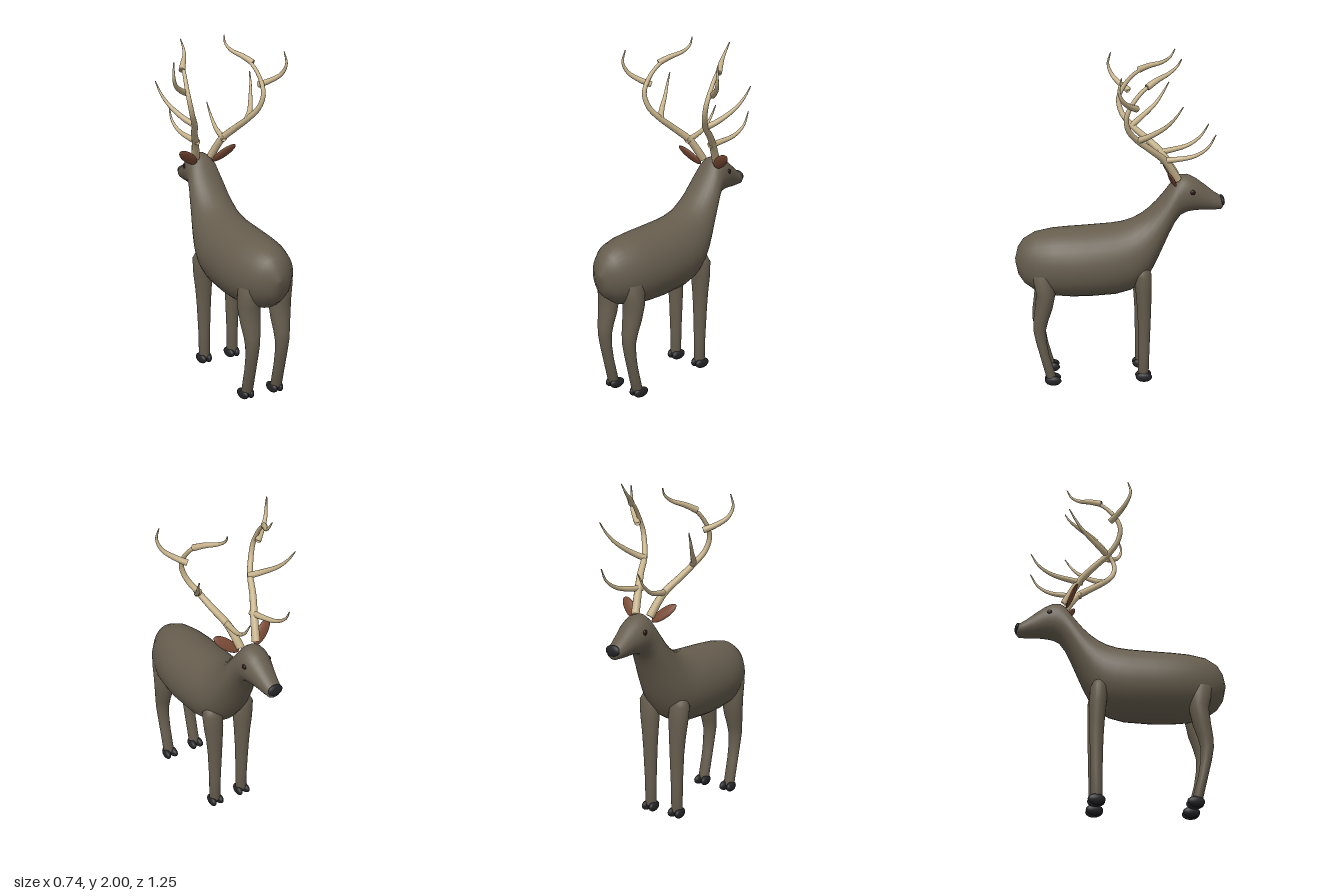
import * as THREE from 'three';

const mat = (name, color, extra = {}) => {
  const m = new THREE.MeshStandardMaterial({ color, ...extra });
  m.name = name;
  return m;
};

// Skin over elliptical rings: [topZ, topY, bottomZ, bottomY, halfWidth, centreX]
function loft(rings, segs = 32) {
  const pos = [], idx = [], n = rings.length;
  for (const [tz, ty, bz, by, w, cx = 0] of rings) {
    for (let j = 0; j < segs; j++) {
      const a = (j / segs) * Math.PI * 2, c = Math.cos(a) / 2;
      pos.push(cx + w * Math.sin(a), (ty + by) / 2 + (ty - by) * c, (tz + bz) / 2 + (tz - bz) * c);
    }
  }
  for (let i = 0; i < n - 1; i++) {
    for (let j = 0; j < segs; j++) {
      const k = (j + 1) % segs;
      const a = i * segs + j, b = i * segs + k, c = a + segs, d = b + segs;
      idx.push(a, b, c, b, d, c);
    }
  }
  // end caps
  for (const [r, flip] of [[0, true], [n - 1, false]]) {
    const [tz, ty, bz, by, , cx = 0] = rings[r];
    const centre = pos.length / 3;
    pos.push(cx, (ty + by) / 2, (tz + bz) / 2);
    for (let j = 0; j < segs; j++) {
      const a = r * segs + j, b = r * segs + (j + 1) % segs;
      flip ? idx.push(centre, b, a) : idx.push(centre, a, b);
    }
  }
  const g = new THREE.BufferGeometry();
  g.setAttribute('position', new THREE.Float32BufferAttribute(pos, 3));
  g.setIndex(idx);
  g.computeVertexNormals();
  return g;
}

// Curved horn tapering from r0 to r1 with a flat base
function horn(points, s, r0, r1, power = 1) {
  const curve = new THREE.CatmullRomCurve3(points.map(([x, y, z]) => new THREE.Vector3(x * s, y, z)));
  const n = 28, radial = 12;
  const g = new THREE.TubeGeometry(curve, n, 1, radial);
  const p = g.attributes.position, v = new THREE.Vector3();
  for (let i = 0; i <= n; i++) {
    const c = curve.getPointAt(Math.max(i, 1) / n);
    const r = i === 0 ? 0 : r0 + (r1 - r0) * Math.pow(i / n, power);
    const base = curve.getPointAt(i / n);
    for (let j = 0; j <= radial; j++) {
      const k = i * (radial + 1) + j;
      v.fromBufferAttribute(p, k).sub(base).multiplyScalar(r).add(c);
      p.setXYZ(k, v.x, v.y, v.z);
    }
  }
  return g;
}

export function createModel() {
  const hide = mat('hide', 0x665d4e);
  const antlerMat = mat('antler', 0xc8b48c);
  const earMat = mat('ear brown', 0x7a4a35);
  const black = mat('hoof black', 0x232326);
  const eyeMat = mat('eye', 0x2a1512);

  const model = new THREE.Group();
  model.name = 'deer';
  const add = (name, geo, material, parent = model) => {
    const m = new THREE.Mesh(geo, material);
    m.name = name;
    parent.add(m);
    return m;
  };
  const ball = (name, material, c, r, parent) => {
    const m = add(name, new THREE.SphereGeometry(1, 24, 16), material, parent);
    m.position.set(...c);
    m.scale.set(...r);
    return m;
  };

  // body, neck and head as one skin from rump to muzzle
  add('body', loft([
    [.622, .79, .622, .77, .01], [.605, .86, .605, .69, .055], [.57, .91, .57, .635, .105],
    [.5, .948, .5, .585, .157], [.4, .966, .4, .557, .188], [.3, .972, .3, .548, .201],
    [.2, .976, .2, .545, .205], [.05, .985, .03, .553, .2], [-.02, .995, -.06, .575, .19],
    [-.08, 1.015, -.13, .615, .175], [-.13, 1.042, -.18, .68, .16], [-.175, 1.076, -.22, .76, .146],
    [-.22, 1.12, -.255, .84, .132], [-.26, 1.168, -.29, .92, .121], [-.295, 1.215, -.325, .99, .109],
    [-.325, 1.257, -.36, 1.036, .1], [-.355, 1.28, -.4, 1.054, .095], [-.40, 1.28, -.44, 1.06, .09],
    [-.45, 1.255, -.475, 1.062, .08], [-.5, 1.217, -.515, 1.06, .067], [-.56, 1.168, -.56, 1.06, .056],
    [-.60, 1.142, -.60, 1.062, .047], [-.613, 1.125, -.613, 1.075, .03],
  ]), hide);

  const nose = ball('nose', black, [0, 1.115, -.607], [.047, .033, .017]);
  nose.rotation.x = .15;

  // legs: [y, frontZ, backZ, halfWidth, centreX]
  const legs = {
    frontLeg: [[.755, -.125, -.11, .01, .11], [.74, -.16, -.085, .042, .11], [.7, -.18, -.075, .065, .108],
      [.6, -.182, -.085, .062, .104], [.5, -.18, -.094, .052, .1], [.4, -.178, -.1, .045, .098],
      [.2, -.172, -.104, .036, .097], [.04, -.168, -.104, .035, .097]],
    hindLeg: [[.76, .42, .46, .02, .105], [.72, .385, .53, .065, .103], [.6, .39, .505, .07, .1],
      [.5, .41, .515, .06, .098], [.42, .437, .526, .049, .097], [.36, .452, .527, .043, .097],
      [.28, .448, .512, .038, .097], [.2, .435, .492, .036, .097], [.04, .393, .453, .035, .097]],
  };

  // antler paths for the left side: [points, base radius, tip radius, taper power]
  const antler = {
    beam: [[[.045, 1.24, -.35], [.09, 1.39, -.255], [.135, 1.465, -.175], [.175, 1.54, -.085], [.215, 1.61, -.03],
      [.238, 1.69, -.015], [.24, 1.76, -.045], [.228, 1.83, -.1], [.213, 1.872, -.155]], .025, .01, 1],
    browTine: [[[.085, 1.392, -.215], [.1, 1.4, -.3], [.122, 1.425, -.42], [.132, 1.475, -.495], [.128, 1.55, -.542]], .019, .003, 1.3],
    middleTine: [[[.16, 1.532, -.075], [.215, 1.57, -.14], [.27, 1.64, -.235], [.297, 1.7, -.285], [.312, 1.765, -.325]], .019, .003, 1.3],
    rearTine: [[[.225, 1.735, -.08], [.285, 1.765, -.03], [.34, 1.81, .015], [.36, 1.87, .037], [.352, 1.942, .022]], .019, .003, 1.3],
    topTine: [[[.235, 1.855, -.125], [.195, 1.89, -.19], [.152, 1.92, -.265], [.138, 1.955, -.31], [.143, 1.998, -.335]], .019, .003, 1.3],
  };

  for (const [side, s] of [['left', 1], ['right', -1]]) {
    for (const [name, rows] of Object.entries(legs)) {
      const leg = new THREE.Group();
      leg.name = `${side} ${name}`;
      model.add(leg);
      add('shank', loft(rows.map(([y, f, b, w, x]) => [f, y, b, y, w, x * s]), 24), hide, leg);
      // cloven hoof
      const z = name === 'frontLeg' ? -.137 : .415;
      for (const t of [-1, 1]) {
        const toe = ball('toe', black, [.097 * s + t * .022, .034, z], [.023, .031, .05], leg);
        toe.rotation.y = -t * .12;
      }
    }

    ball(`${side} eye`, eyeMat, [.083 * s, 1.192, -.42], [.01, .016, .016]);

    // leaf-shaped ear
    const ear = ball(`${side} ear`, earMat, [.12 * s, 1.285, -.293], [.087, .034, .013]);
    const long = new THREE.Vector3(.13 * s, .1, .055).normalize();
    const face = new THREE.Vector3(0, -.055, .1).normalize();
    const wide = new THREE.Vector3().crossVectors(face, long);
    ear.quaternion.setFromRotationMatrix(new THREE.Matrix4().makeBasis(long, wide, face));

    const rack = new THREE.Group();
    rack.name = `${side} antler`;
    model.add(rack);
    for (const [name, [pts, r0, r1, p]] of Object.entries(antler)) {
      add(name, horn(pts, s, r0, r1, p), antlerMat, rack);
    }
  }
  return model;
}
